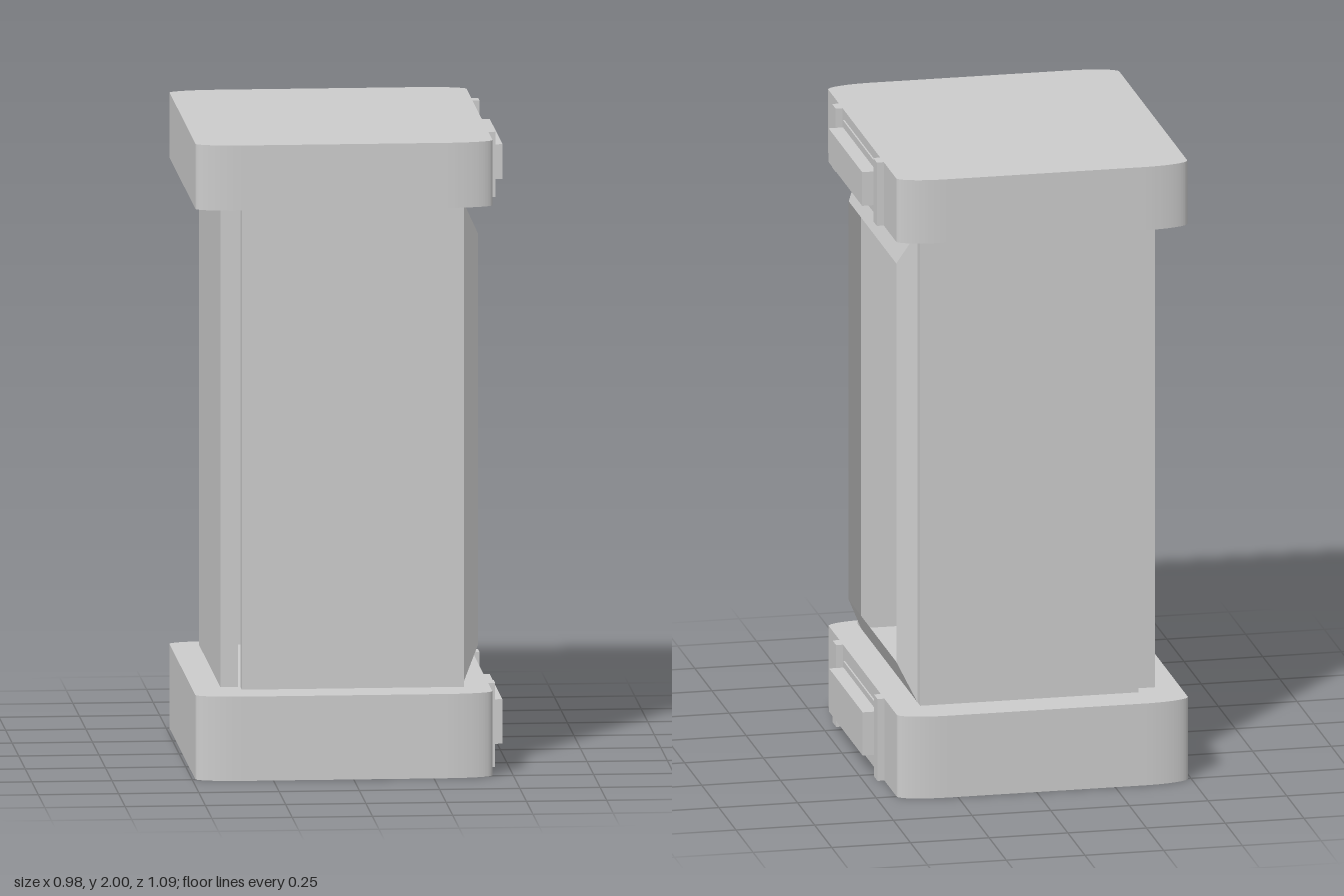
import * as THREE from 'three';

const grey = new THREE.MeshStandardMaterial({ color: 0xcccccc });
grey.name = 'plain grey';
grey.side = THREE.DoubleSide;

// box given by its minimum and maximum corners
function box(name, x0, x1, y0, y1, z0, z1) {
  const mesh = new THREE.Mesh(new THREE.BoxGeometry(x1 - x0, y1 - y0, z1 - z0), grey);
  mesh.position.set((x0 + x1) / 2, (y0 + y1) / 2, (z0 + z1) / 2);
  mesh.name = name;
  return mesh;
}

// slab with flat, elliptical corners, standing on y = 0
function slab(name, height) {
  const x0 = -0.49, x1 = 0.435, z = 0.54, rx = 0.15, rz = 0.045;
  const shape = new THREE.Shape();
  shape.moveTo(x0 + rx, -z);
  shape.absellipse(x1 - rx, -z + rz, rx, rz, -Math.PI / 2, 0);
  shape.absellipse(x1 - rx, z - rz, rx, rz, 0, Math.PI / 2);
  shape.absellipse(x0 + rx, z - rz, rx, rz, Math.PI / 2, Math.PI);
  shape.absellipse(x0 + rx, -z + rz, rx, rz, Math.PI, Math.PI * 1.5);
  const geo = new THREE.ExtrudeGeometry(shape, { depth: height, bevelEnabled: false, curveSegments: 12 });
  geo.rotateX(-Math.PI / 2);
  const mesh = new THREE.Mesh(geo, grey);
  mesh.name = name;
  return mesh;
}

// slab with two upright ribs and a handle bar on its +x side
function endCap(name, y, height, shift, plateY, barY) {
  const cap = new THREE.Group();
  cap.name = name;
  cap.add(slab(name + 'Slab', height));
  for (const z of [0.3125, -0.29]) cap.add(box('rib', 0.43, 0.457, 0, height, z - 0.026, z + 0.026));
  cap.add(box('handlePlate', 0.433, 0.44, plateY[0], plateY[1], -0.236, 0.26));
  cap.add(box('handleBar', 0.438, 0.486, barY[0], barY[1], -0.234, 0.256));
  cap.position.set(0, y, shift);
  return cap;
}

// open frame whose four faces slope outwards from the wall
function slopedFrame() {
  const ring = (x, y0, y1, z) => [[x, y0, z], [x, y0, -z], [x, y1, -z], [x, y1, z]];
  const outer = ring(0.35, 0.275, 1.795, 0.41);
  const inner = ring(0.403, 0.39, 1.68, 0.347);
  const points = [];
  for (let i = 0; i < 4; i++) {
    const j = (i + 1) % 4;
    points.push(...outer[i], ...outer[j], ...inner[j], ...outer[i], ...inner[j], ...inner[i]);
  }
  const geo = new THREE.BufferGeometry();
  geo.setAttribute('position', new THREE.Float32BufferAttribute(points, 3));
  geo.computeVertexNormals();
  const mesh = new THREE.Mesh(geo, grey);
  mesh.name = 'openingFrame';
  return mesh;
}

export function createModel() {
  const model = new THREE.Group();
  model.name = 'openCabinet';
  model.add(endCap('base', 0, 0.265, -0.004, [0.04, 0.22], [0.06, 0.2]));
  model.add(endCap('top', 1.795, 0.205, 0.004, [0.025, 0.175], [0.043, 0.152]));
  // three closed walls and the open side
  model.add(box('frontWall', -0.343, 0.35, 0.275, 1.795, 0.412, 0.463));
  model.add(box('backWall', -0.343, 0.35, 0.275, 1.795, -0.453, -0.408));
  model.add(box('sideWall', -0.405, -0.35, 0.275, 1.795, -0.41, 0.41));
  model.add(slopedFrame());
  return model;
}
